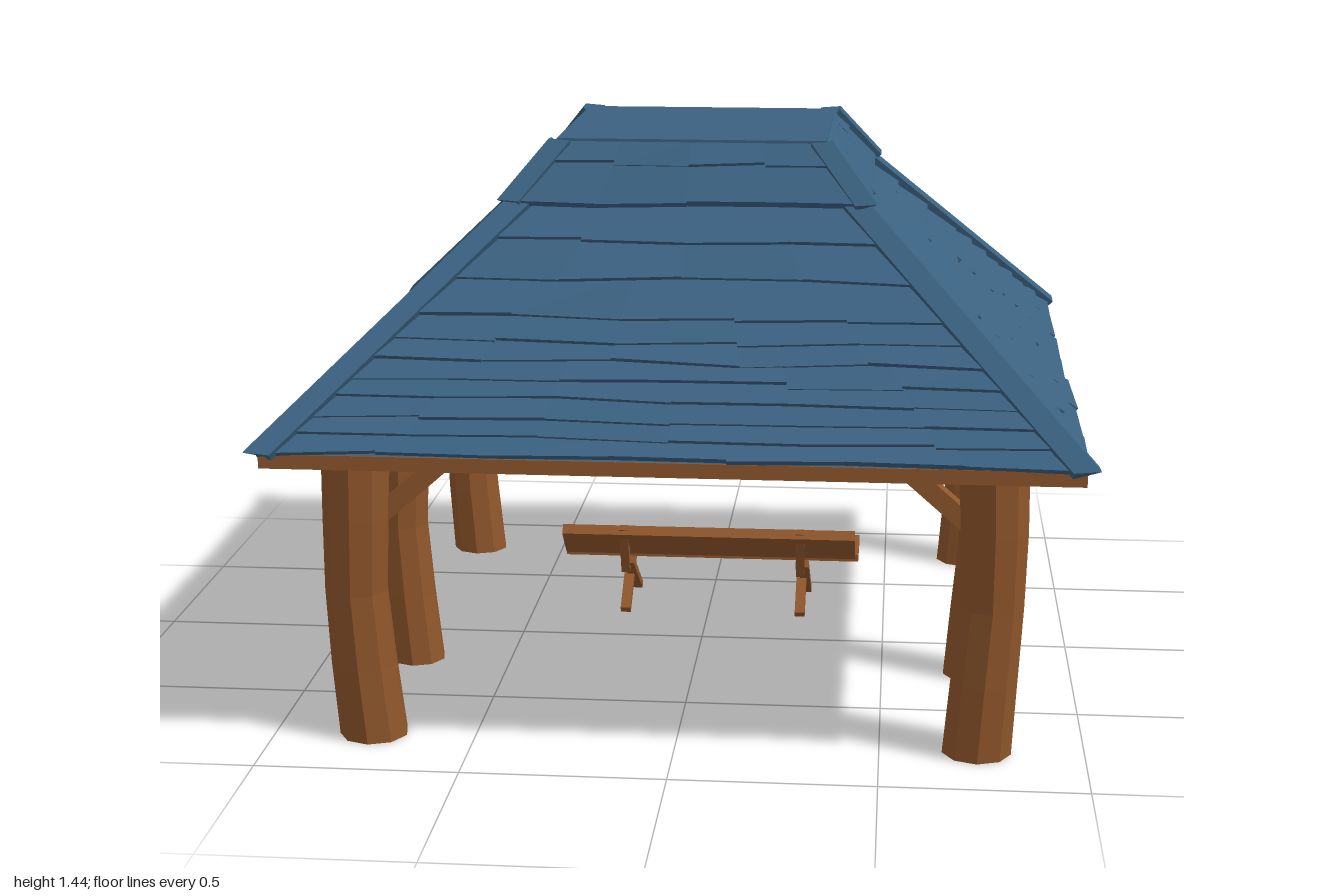
import * as THREE from 'three';

const EAVE = 0.77, TOP = 1.4;
const roofHalf = (y) => 0.962 - (y - EAVE) * 1.05; // main roof half-width at a height
const capHalf = (y) => 0.452 - (y - 1.285) * 0.83; // half-width of the raised cap

let seed = 7;
const rnd = () => ((seed = (seed * 16807) % 2147483647) / 2147483647);
const jit = (a) => (rnd() * 2 - 1) * a;

function quadGeometry(quads) {
  const pos = [];
  for (const [a, b, c, d] of quads) pos.push(...a, ...b, ...c, ...a, ...c, ...d);
  const g = new THREE.BufferGeometry();
  g.setAttribute('position', new THREE.Float32BufferAttribute(pos, 3));
  g.computeVertexNormals();
  return g;
}

// One uneven row of shingles on the +z slope, with a raised lower lip
function courseQuads(half, y0, y1, lift) {
  const quads = [], n = Math.max(4, Math.round(half(y0) * 7));
  let yl = y0 + jit(0.005);
  for (let i = 0; i < n; i++) {
    const u0 = (i / n) * 2 - 1, u1 = ((i + 1) / n) * 2 - 1;
    const yr = y0 + jit(0.006), l = lift + jit(0.003);
    const pt = (u, y, k) => [u * half(y), y + k, half(y) + k];
    quads.push([pt(u0, yl, l), pt(u1, yr, l), pt(u1, y1, 0.003), pt(u0, y1, 0.003)]);
    quads.push([pt(u0, yl, -0.004), pt(u1, yr, -0.004), pt(u1, yr, l), pt(u0, yl, l)]);
    yl = rnd() < 0.4 ? y0 + jit(0.006) : yr;
  }
  return quads;
}

// Folded cap running up one hip from height y0 to y1
function hipQuads(half, y0, y1, w, k) {
  const ring = (y) => {
    const h = half(y);
    return [[h - w, y, h], [h - w, y + k, h + k], [h + k, y + k * 1.3, h + k],
      [h + k, y + k, h - w], [h, y, h - w]];
  };
  const a = ring(y0), b = ring(y1), quads = [];
  for (let i = 0; i < 4; i++) quads.push([a[i], a[i + 1], b[i + 1], b[i]]);
  for (const r of [a, b]) quads.push([r[0], r[1], r[2], r[2]], [r[0], r[2], r[3], r[4]]);
  return quads;
}

// Open four-sided shell
function frustum(top, bottom, y0, y1) {
  const r = Math.SQRT2;
  return new THREE.CylinderGeometry(top * r, bottom * r, y1 - y0, 4, 1, true)
    .rotateY(Math.PI / 4).translate(0, (y0 + y1) / 2, 0);
}

export function createModel() {
  const model = new THREE.Group();
  model.name = 'pavilion';
  const blue = new THREE.MeshStandardMaterial({ color: 0x3a6180, flatShading: true, side: THREE.DoubleSide });
  blue.name = 'blue shingles';
  const wood = new THREE.MeshStandardMaterial({ color: 0x8f562b, flatShading: true, side: THREE.DoubleSide });
  wood.name = 'brown wood';

  const add = (name, geo, mat, parent = model) => {
    const m = new THREE.Mesh(geo, mat);
    m.name = name;
    parent.add(m);
    return m;
  };
  const beam = (name, a, b, w, h, parent = model) => {
    const p = new THREE.Vector3(...a), q = new THREE.Vector3(...b);
    const m = new THREE.Mesh(new THREE.BoxGeometry(w, h, p.distanceTo(q)), wood);
    m.name = name;
    m.position.copy(p).lerp(q, 0.5);
    m.lookAt(q);
    parent.add(m);
  };

  // Roof shells: shingle base outside, boarded ceiling inside
  add('roofBase', frustum(roofHalf(TOP), roofHalf(EAVE), EAVE, TOP), blue);
  add('ceilingBoards', frustum(roofHalf(TOP) - 0.01, roofHalf(EAVE) - 0.01, EAVE - 0.03, TOP - 0.03), wood);
  add('ceilingTop', new THREE.BoxGeometry(0.56, 0.02, 0.56).translate(0, 1.37, 0), wood);
  add('roofTop', new THREE.BoxGeometry(0.68, 0.03, 0.65).translate(0, 1.418, 0), blue);

  // Shingles, hips, rafters and eave boards repeat on the four sides
  const rows = [0.77, 0.805, 0.84, 0.88, 0.915, 0.955, 0.995, 1.04, 1.12, 1.2, 1.29];
  for (let s = 0; s < 4; s++) {
    const side = new THREE.Group();
    side.name = 'roofSide' + (s + 1);
    side.rotation.y = (s * Math.PI) / 2;
    model.add(side);

    const quads = [];
    for (let i = 0; i < rows.length - 1; i++) quads.push(...courseQuads(roofHalf, rows[i], rows[i + 1] + 0.008, 0.011));
    add('shingleRows', quadGeometry(quads), blue, side);
    add('capShingles', quadGeometry([...courseQuads(capHalf, 1.285, 1.38, 0.008),
      ...courseQuads(capHalf, 1.375, 1.425, 0.008)]), blue, side);
    add('hipCap', quadGeometry(hipQuads(roofHalf, 0.757, 1.285, 0.045, 0.018)), blue, side);
    add('upperHipCap', quadGeometry(hipQuads(capHalf, 1.28, 1.418, 0.04, 0.014)), blue, side);

    add('eaveBoard', new THREE.BoxGeometry(1.93, 0.035, 0.14).translate(0, 0.752, 0.895), wood, side);
    add('wallPlate', new THREE.BoxGeometry(1.62, 0.1, 0.1).translate(0, 0.786, 0.765), wood, side);
    for (let i = -2; i <= 2; i++) {
      beam('rafter', [i * 0.34, 0.77, 0.9], [i * 0.13, 1.34, 0.31], 0.045, 0.045, side);
    }
    beam('hipRafter', [0.9, 0.77, 0.9], [0.31, 1.34, 0.31], 0.06, 0.05, side);
  }

  // Crooked log posts: x of the centre and radius scale from bottom to top
  const centres = { '-1': [-0.755, -0.772, -0.784, -0.778, -0.772], '1': [0.737, 0.75, 0.764, 0.765, 0.76] };
  const girth = [1.04, 1, 0.95, 1, 1.03];
  for (const sx of [-1, 1]) {
    for (const [z, r, sway] of [[0.762, 0.082, 0.025], [0.22, 0.072, 0.006], [-0.772, 0.077, -0.02]]) {
      const g = new THREE.CylinderGeometry(r, r, 0.76, 9, 4).translate(0, 0.38, 0);
      const p = g.attributes.position;
      for (let i = 0; i < p.count; i++) {
        const k = Math.round((p.getY(i) / 0.76) * 4);
        p.setX(i, p.getX(i) * girth[k] + centres[sx][k]);
        p.setZ(i, p.getZ(i) * girth[k] + z + sway * (k / 4));
      }
      g.computeVertexNormals();
      add('post', g, wood);
    }
    // Braces along the front and back
    for (const z of [0.77, -0.78]) {
      beam('crossBrace', [sx * 0.73, 0.562, z], [sx * 0.51, 0.755, z], 0.05, 0.045);
    }
  }

  // Braces along the sides: slim on the left, deep on the right
  beam('sideBrace', [0.76, 0.62, 0.28], [0.76, 0.75, 0.42], 0.05, 0.05);
  beam('sideBrace', [0.76, 0.58, -0.76], [0.76, 0.755, -0.55], 0.05, 0.045);
  beam('sideBrace', [0.76, 0.62, 0.7], [0.76, 0.75, 0.44], 0.05, 0.05);
  const deepBrace = (z0, z1, z2) => {
    const s = new THREE.Shape([[z0, 0.565], [z1, 0.735], [z2, 0.755], [z0, 0.68]].map(([z, y]) => new THREE.Vector2(-z, y)));
    add('deepBrace', new THREE.ExtrudeGeometry(s, { depth: 0.05, bevelEnabled: false })
      .rotateY(Math.PI / 2), wood).position.x = -0.785;
  };
  deepBrace(0.73, 0.33, 0.5);
  deepBrace(-0.74, -0.24, -0.52);

  // Bench facing the back
  const bench = new THREE.Group();
  bench.name = 'bench';
  model.add(bench);
  add('seatPlank', new THREE.BoxGeometry(0.83, 0.02, 0.19), wood, bench).position.set(0.012, 0.178, -0.286);
  const back = add('backrestPlank', new THREE.BoxGeometry(0.82, 0.115, 0.03), wood, bench);
  back.position.set(0.008, 0.23, -0.148);
  back.rotation.x = 0.8;
  for (const x of [-0.23, 0.265]) {
    beam('benchLeg', [x, 0.022, -0.145], [x, 0.17, -0.36], 0.028, 0.02, bench);
    beam('benchLeg', [x + 0.01, 0.022, -0.375], [x + 0.01, 0.17, -0.15], 0.028, 0.02, bench);
    beam('seatBearer', [x, 0.16, -0.16], [x, 0.16, -0.37], 0.028, 0.018, bench);
    beam('backrestSupport', [x, 0.135, -0.165], [x, 0.275, -0.115], 0.024, 0.024, bench);
  }
  return model;
}
